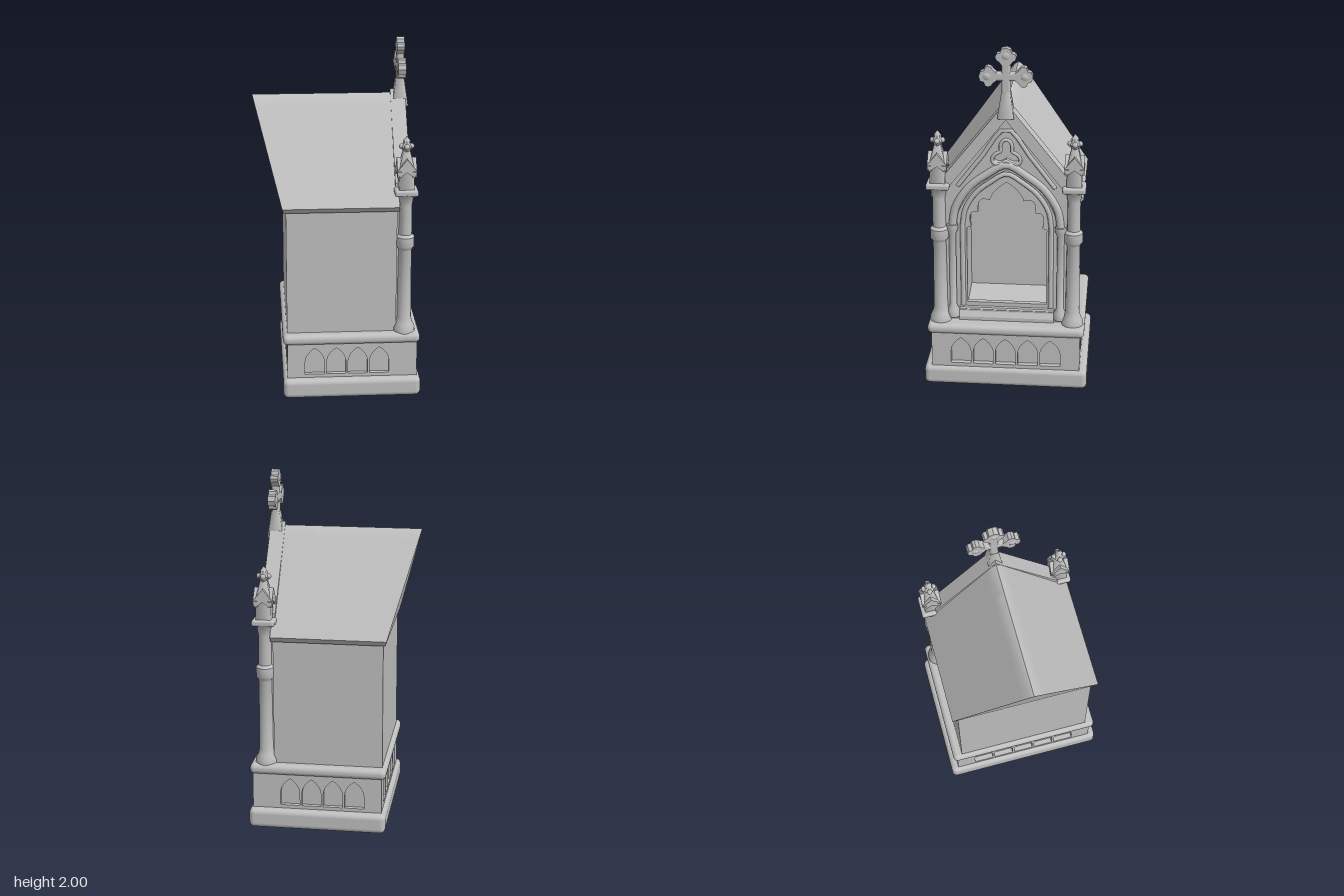
import * as THREE from 'three';
import { toCreasedNormals } from 'three/addons/utils/BufferGeometryUtils.js';
import { RoundedBoxGeometry } from 'three/addons/geometries/RoundedBoxGeometry.js';

const stone = new THREE.MeshStandardMaterial({ color: 0xc0c0c0 });
stone.name = 'stone grey';

function add(parent, name, geo, x = 0, y = 0, z = 0) {
  const m = new THREE.Mesh(geo, stone);
  m.name = name;
  m.position.set(x, y, z);
  parent.add(m);
  return m;
}
// Rounded block given by its x, y and z limits
function block(parent, name, x0, x1, y0, y1, hz, r) {
  return add(parent, name, new RoundedBoxGeometry(x1 - x0, y1 - y0, hz * 2, 3, r), (x0 + x1) / 2, (y0 + y1) / 2, 0);
}
// Extrude a (z, y) outline along x, from x0 to x1
function slab(shape, x0, x1) {
  const g = new THREE.ExtrudeGeometry(shape, { depth: x1 - x0, bevelEnabled: false, curveSegments: 10 });
  g.rotateY(Math.PI / 2).translate(x0, 0, 0);
  return toCreasedNormals(g, 0.6);
}
const poly = pts => new THREE.Shape(pts.map(p => new THREE.Vector2(...p)));
const mirrored = half => [...half, ...half.slice().reverse().filter(p => p[0] !== 0).map(([a, b]) => [-a, b])];

// Pointed arch outline, half width w, standing on y0
function arch(w, y0, spring, apex, cx = 0) {
  const path = new THREE.Path();
  const c = spring + (apex - spring) * 0.62;
  path.moveTo(cx - w, y0).lineTo(cx + w, y0).lineTo(cx + w, spring);
  path.quadraticCurveTo(cx + w * 0.92, c, cx, apex).quadraticCurveTo(cx - w * 0.92, c, cx - w, spring);
  path.closePath();
  return path;
}
function tube(parent, name, pts, x, r, closed = false) {
  const curve = new THREE.CatmullRomCurve3(pts.map(([z, y]) => new THREE.Vector3(x, y, z)), closed, 'centripetal');
  return add(parent, name, new THREE.TubeGeometry(curve, pts.length * 3, r, 8, closed));
}
function lathe(pts, seg = 16) {
  return toCreasedNormals(new THREE.LatheGeometry(pts.map(p => new THREE.Vector2(...p)), seg), 0.7);
}
// Square tapering post
function post(h, top, bottom) {
  return new THREE.CylinderGeometry(top * Math.SQRT2, bottom * Math.SQRT2, h, 4).rotateY(Math.PI / 4);
}

// Plate pierced by a row of pointed arches, facing +z
function arcade(len, centre, n, pitch) {
  const s = poly([[-len / 2, 0.09], [len / 2, 0.09], [len / 2, 0.34], [-len / 2, 0.34]]);
  for (let i = 0; i < n; i++) {
    s.holes.push(arch(pitch * 0.45, 0.135, 0.21, 0.295, centre + (i - (n - 1) / 2) * pitch));
  }
  return toCreasedNormals(new THREE.ExtrudeGeometry(s, { depth: 0.03, bevelEnabled: false, curveSegments: 8 }), 0.6);
}

function makeBase() {
  const g = new THREE.Group();
  g.name = 'base';
  block(g, 'plinth', -0.325, 0.46, 0, 0.115, 0.468, 0.03);
  add(g, 'dadoCore', new THREE.BoxGeometry(0.68, 0.26, 0.8), 0.07, 0.21, 0);
  add(g, 'leftArcade', arcade(0.74, -0.03, 4, 0.123), 0.07, 0, 0.395);
  add(g, 'rightArcade', arcade(0.74, 0.03, 4, 0.123), 0.07, 0, -0.395).rotation.y = Math.PI;
  add(g, 'frontArcade', arcade(0.8, 0, 5, 0.128), 0.41, 0, 0).rotation.y = Math.PI / 2;
  add(g, 'rearArcade', arcade(0.8, 0, 5, 0.128), -0.27, 0, 0).rotation.y = -Math.PI / 2;
  block(g, 'cornice', -0.325, 0.455, 0.32, 0.38, 0.448, 0.027);
  return g;
}

function makeBody() {
  const g = new THREE.Group();
  g.name = 'body';
  const outline = () => poly(mirrored([[0.393, 0.36], [0.393, 1.14], [0, 1.62]]));
  add(g, 'chamber', slab(outline(), -0.3, 0.13));
  const front = outline();
  front.holes.push(arch(0.225, 0.47, 0.95, 1.22));
  add(g, 'nicheWalls', slab(front, 0.13, 0.32));

  // Roof: its rear end leans outward towards the ridge
  const top = [[0.428, 1.13], [0.06, 1.62], [0.025, 1.665], [0, 1.68]];
  const geo = slab(poly(mirrored([[0.405, 1.1], ...top])), -0.32, 0.13);
  const p = geo.attributes.position;
  for (let i = 0; i < p.count; i++) {
    if (p.getX(i) < 0) p.setX(i, -0.315 - 0.158 * (p.getY(i) - 1.11) / 0.57);
  }
  geo.computeVertexNormals();
  add(g, 'roof', toCreasedNormals(geo, 0.6));
  const chevron = poly([...mirrored([[0.405, 1.1], ...top]), [0, 1.6]]);
  add(g, 'roofFront', slab(chevron, 0.13, 0.33));
  return g;
}

function makeFacade() {
  const g = new THREE.Group();
  g.name = 'facade';
  // Cusped tracery around the niche
  const inner = poly(mirrored([[0.32, 0.4], [0.32, 1.1], [0.18, 1.3], [0, 1.34]]));
  const cusp = new THREE.Path();
  cusp.moveTo(-0.225, 0.48).lineTo(0.225, 0.48).lineTo(0.225, 0.94).lineTo(0.2, 0.95);
  cusp.quadraticCurveTo(0.225, 1.05, 0.16, 1.04).quadraticCurveTo(0.17, 1.14, 0.095, 1.11);
  cusp.quadraticCurveTo(0.08, 1.17, 0, 1.22).quadraticCurveTo(-0.08, 1.17, -0.095, 1.11);
  cusp.quadraticCurveTo(-0.17, 1.14, -0.16, 1.04).quadraticCurveTo(-0.225, 1.05, -0.2, 0.95);
  cusp.lineTo(-0.225, 0.94).closePath();
  inner.holes.push(cusp);
  add(g, 'cuspedTracery', slab(inner, 0.31, 0.34));

  // Gabled plate with the large arch and a trefoil opening
  const plate = poly(mirrored([[0.37, 0.37], [0.37, 1.21], [0, 1.67]]));
  plate.holes.push(arch(0.29, 0.44, 0.95, 1.3));
  const trefoil = k => Array.from({ length: 36 }, (_, i) => {
    const a = i / 36 * Math.PI * 2, r = k * (0.055 + 0.022 * Math.cos(3 * (a - Math.PI / 2)));
    return [r * Math.cos(a), 1.39 + r * Math.sin(a)];
  });
  plate.holes.push(new THREE.Path(trefoil(1).map(q => new THREE.Vector2(...q))));
  add(g, 'gablePlate', slab(plate, 0.31, 0.36));
  tube(g, 'trefoilRim', trefoil(1.12), 0.36, 0.01, true);

  // Mouldings of the arches and the gable
  const line = mirrored([[0.305, 0.95], [0.285, 1.07], [0.21, 1.19], [0.11, 1.27], [0, 1.33]]);
  tube(g, 'outerArchMoulding', line, 0.36, 0.022);
  tube(g, 'innerArchMoulding', line.map(([z, y]) => [z * 0.82, 0.95 + (y - 0.95) * 0.84]), 0.34, 0.014);
  const coping = poly([[-0.36, 1.2], [-0.32, 1.2], [0, 1.6], [0.32, 1.2], [0.36, 1.2], [0.36, 1.25], [0, 1.7], [-0.36, 1.25]]);
  add(g, 'gableCoping', slab(coping, 0.31, 0.395));
  tube(g, 'gableInnerMoulding', [[0.27, 1.2], [0.14, 1.37], [0, 1.54], [-0.14, 1.37], [-0.27, 1.2]], 0.36, 0.012);

  // Slender shafts beside the niche
  for (const s of [-1, 1]) {
    add(g, 'nicheShaft', lathe([[0, 0.4], [0.035, 0.4], [0.035, 0.44], [0.02, 0.47], [0.02, 0.91], [0.032, 0.94], [0.032, 0.97], [0, 0.97]]), 0.36, 0, s * 0.305);
    add(g, 'nicheJamb', new THREE.CylinderGeometry(0.014, 0.014, 0.5, 10), 0.34, 0.71, s * 0.25);
  }
  // Sloping sill
  const sill = new THREE.ExtrudeGeometry(poly([[0.13, 0.37], [0.375, 0.37], [0.375, 0.4], [0.35, 0.45], [0.3, 0.475], [0.13, 0.5]]), { depth: 0.54, bevelEnabled: false });
  add(g, 'sill', sill, 0, 0, -0.27);
  return g;
}

// Corner column with its pinnacle
function makeColumn(z) {
  const g = new THREE.Group();
  g.name = 'cornerColumn';
  add(g, 'shaft', lathe([[0, 0.37], [0.062, 0.37], [0.062, 0.4], [0.048, 0.43], [0.04, 0.46], [0.037, 0.87], [0.052, 0.89],
    [0.052, 0.945], [0.037, 0.96], [0.036, 1.13], [0.045, 1.18], [0.065, 1.2], [0, 1.2]]));
  add(g, 'capital', new RoundedBoxGeometry(0.13, 0.035, 0.13, 2, 0.012), 0, 1.21, 0);
  add(g, 'pinnacleBlock', post(0.13, 0.04, 0.043), 0, 1.285, 0);
  // Small gablets on the four sides
  const gablet = poly([[-0.042, 1.3], [0, 1.33], [0.042, 1.3], [0.056, 1.335], [0, 1.405], [-0.056, 1.335]]);
  for (let i = 0; i < 4; i++) add(g, 'gablet', slab(gablet, 0.03, 0.054)).rotation.y = i * Math.PI / 2;
  add(g, 'spire', post(0.13, 0.014, 0.044), 0, 1.4, 0);
  add(g, 'finialKnob', lathe([[0, 1.42], [0.022, 1.44], [0.033, 1.465], [0.02, 1.485], [0.02, 1.5], [0, 1.525]], 8));
  for (let i = 0; i < 4; i++) {
    const a = i * Math.PI / 2;
    add(g, 'finialBud', new THREE.SphereGeometry(0.016, 8, 6), Math.cos(a) * 0.027, 1.468, Math.sin(a) * 0.027);
  }
  g.position.set(0.367, 0, z);
  return g;
}

// Cross with three-lobed, pointed ends
function makeCross() {
  const g = new THREE.Group();
  g.name = 'cross';
  add(g, 'crossFoot', post(0.15, 0.024, 0.045), 0, -0.155, 0);
  add(g, 'upright', new RoundedBoxGeometry(0.044, 0.28, 0.05, 2, 0.014), 0, -0.02, 0);
  add(g, 'crossbar', new RoundedBoxGeometry(0.044, 0.05, 0.22, 2, 0.014));
  // Leaf-shaped end, drawn pointing up and turned to each arm
  const leaf = poly(mirrored([[0.022, 0.05], [0.035, 0.068], [0.052, 0.08], [0.058, 0.098], [0.05, 0.113], [0.032, 0.118], [0.026, 0.138], [0, 0.147]]));
  const leafGeo = slab(leaf, -0.022, 0.022);
  for (const turn of [-1, 0, 1]) {
    add(g, 'crossEnd', leafGeo, 0, turn === 0 ? 0.013 : 0, 0).rotation.x = turn * Math.PI / 2;
    const boss = add(g, 'crossEndBoss', new THREE.SphereGeometry(0.034, 10, 8), 0, turn === 0 ? 0.115 : 0, turn * 0.102);
    boss.scale.x = 0.85;
  }
  g.position.set(0.364, 1.84, 0);
  return g;
}

export function createModel() {
  const model = new THREE.Group();
  model.name = 'gothicShrine';
  model.add(makeBase(), makeBody(), makeFacade(), makeColumn(0.377), makeColumn(-0.377), makeCross());
  return model;
}
